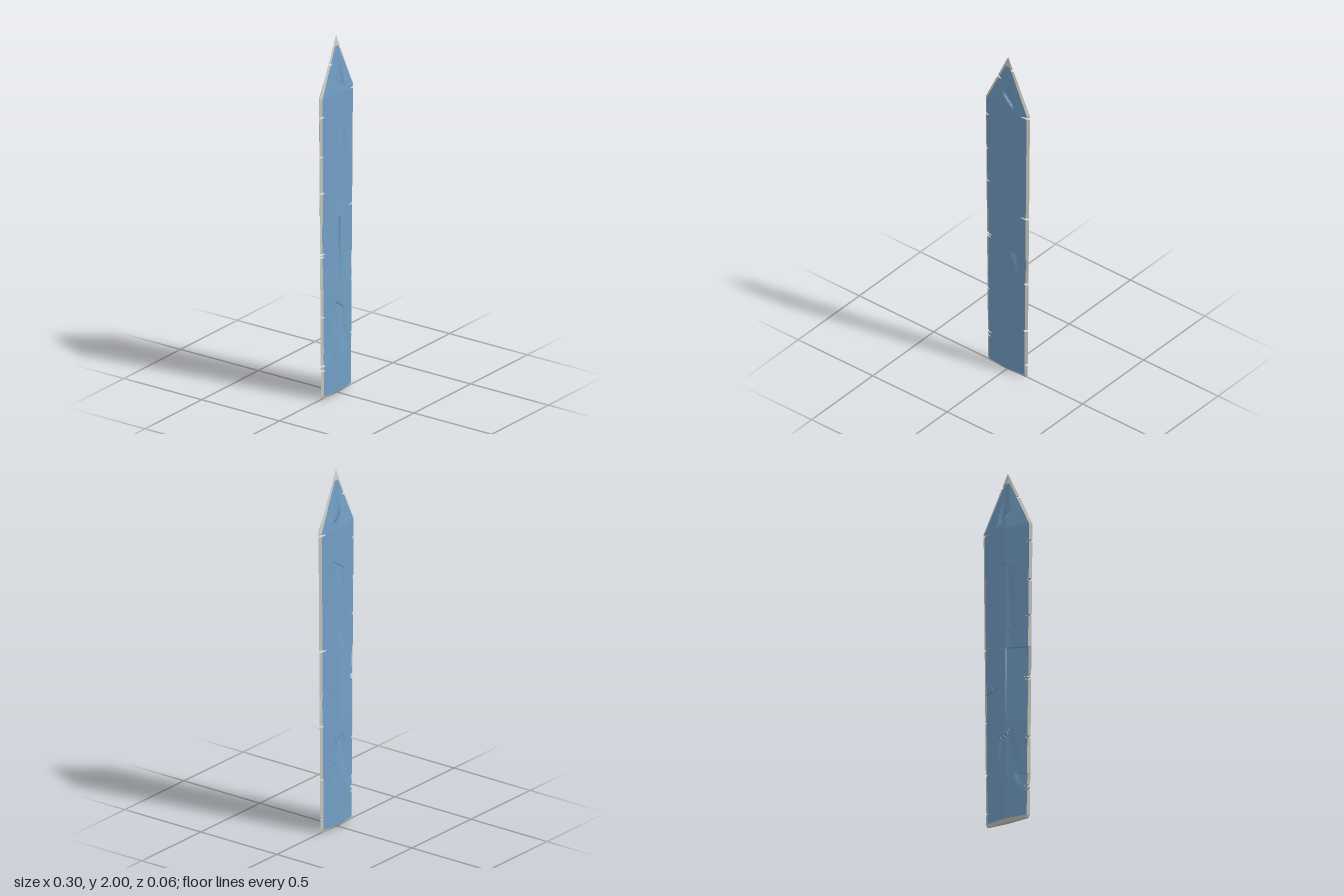
import * as THREE from 'three';
import { toCreasedNormals } from 'three/addons/utils/BufferGeometryUtils.js';

const STEP = 0.012, COLS = 20, RIM = 0.014, SHOULDER = 1.68;

// edge nicks: [height, depth]
const NICKS = {
  '-1': [[1.85, 0.03], [1.58, 0.03], [1.36, 0.022], [1.155, 0.028], [0.985, 0.012], [0.81, 0.035],
    [0.795, 0.03], [0.46, 0.022], [0.185, 0.03], [0.16, 0.025]],
  '1': [[1.925, 0.012], [1.67, 0.045], [1.02, 0.045], [0.765, 0.012], [0.6, 0.02], [0.3, 0.02], [0.08, 0.01]],
};

// chips on the faces: a sharp line x0,y0 - x1,y1, fading over len, widening by left/right
const CHIPS = [
  { x0: -0.045, y0: 1.44, x1: 0.05, y1: 1.5, len: 0.5, depth: 0.010, left: 0.03, right: 0.09, soft: 0.03 },
  { x0: -0.3, y0: 0.955, x1: 0, y1: 0.99, len: 0.42, depth: 0.008, left: 0, right: 0, soft: 0.004 },
  { x0: 0.035, y0: 0.776, x1: 0.2, y1: 0.735, len: 0.17, depth: 0.006, left: -0.05, right: 0, soft: 0.02 },
  { x0: -0.04, y0: 0.525, x1: 0.05, y1: 0.462, len: 0.25, depth: 0.010, left: 0.05, right: 0.02, soft: 0.025 },
  { x0: 0.015, y0: 0.362, x1: 0.065, y1: 0.353, len: 0.14, depth: 0.007, left: 0.03, right: 0.03, soft: 0.02 },
  { x0: -0.2, y0: 0.235, x1: -0.045, y1: 0.266, len: 0.09, depth: 0.005, left: 0, right: -0.03, soft: 0.02 },
  { x0: -0.04, y0: 1.093, x1: 0.015, y1: 1.097, len: 0.1, depth: 0.006, left: 0.02, right: 0.02, soft: 0.02 },
  { x0: -0.025, y0: 1.78, x1: 0.055, y1: 1.695, len: -0.2, depth: 0.012, left: -0.02, right: -0.04, soft: 0.02 },
];
const lineY = (c, x) => c.y0 + (c.y1 - c.y0) * (x - c.x0) / (c.x1 - c.x0);

// half width of the clean outline
function halfWidth(y, side) {
  if (y > SHOULDER) return 0.15 * (2 - y) / (2 - SHOULDER);
  return (side < 0 ? 0.134 : 0.131) + 0.016 * y / SHOULDER;
}

function notchedWidth(y, side) {
  let cut = 0;
  for (const [at, depth] of NICKS[side]) {
    const d = Math.abs(y - at);
    cut = Math.max(cut, depth * THREE.MathUtils.clamp((0.006 - d) / 0.004, 0, 1));
  }
  return Math.max(0, halfWidth(y, side) - cut);
}

// half thickness: a flat diamond with the chips taken out
function halfDepth(x, y) {
  const core = y > SHOULDER ? 0.029 * (2 - y) / (2 - SHOULDER) : 0.025 + 0.004 * y / SHOULDER;
  const w = Math.max(halfWidth(y, x < 0 ? -1 : 1), 1e-4);
  const z = core * (1 - 0.68 * Math.min(1, Math.abs(x) / w));
  let cut = 0;
  for (const c of CHIPS) {
    const t = (lineY(c, x) - y) / c.len;
    if (t < -1e-6 || t > 1) continue;
    const inside = Math.min(x - c.x0 + c.left * t, c.x1 + c.right * t - x) / c.soft;
    cut = Math.max(cut, c.depth * (1 - t) * THREE.MathUtils.clamp(inside, 0, 1));
  }
  return Math.max(z * 0.4, z - cut);
}

// pull a grid point onto a nearby chip line so the break is crisp
function snapY(x, y) {
  for (const c of CHIPS) {
    if (x < c.x0 || x > c.x1) continue;
    const yc = lineY(c, x), dir = Math.sign(c.len), d = (y - yc) * dir;
    if (Math.abs(d) <= STEP / 2) return yc;
    if (d > 0 && d <= STEP * 1.5) return yc + 0.002 * dir;
  }
  return y;
}

// one cross-section of the front half, from right edge to left edge
function section(y) {
  const pts = [];
  const end = y === 0;
  const edge = (side, at) => new THREE.Vector3(side * Math.max(0, notchedWidth(y, side) - (end ? 0.006 : 0)), at, 0);
  for (let j = -COLS; j <= COLS; j++) {
    const side = j < 0 ? -1 : 1;
    const full = Math.max(0, halfWidth(y, side) - RIM);
    const limit = Math.max(0, Math.min(full, notchedWidth(y, side) - 0.002));
    const x = side * Math.min(Math.abs(j) / COLS * full, limit);
    const sy = end || y === 2 ? y : snapY(x, y);
    pts.push(new THREE.Vector3(x, sy, halfDepth(x, sy) * (end ? 0.5 : 1)));
  }
  return [edge(-1, pts[0].y), ...pts, edge(1, pts[pts.length - 1].y)];
}

function meshFrom(tris, material, name) {
  const geo = new THREE.BufferGeometry();
  geo.setAttribute('position', new THREE.Float32BufferAttribute(tris, 3));
  const mesh = new THREE.Mesh(toCreasedNormals(geo, 0.2), material);
  mesh.name = name;
  return mesh;
}

export function createModel() {
  const steel = new THREE.MeshStandardMaterial({ color: 0x739fc6 });
  steel.name = 'blue steel';
  const honed = new THREE.MeshStandardMaterial({ color: 0xd2d0c8 });
  honed.name = 'honed edge';

  // row heights: an even grid plus extra rows around each nick
  const heights = new Set([0, 2, 0.016, 1.94]);
  for (let y = 0.028; y < 1.995; y += STEP) heights.add(y);
  for (const list of Object.values(NICKS))
    for (const [at] of list) [-0.006, -0.002, 0.002, 0.006].forEach(d => heights.add(at + d));
  const ys = [...heights].sort((a, b) => a - b);
  const rows = ys.map(section);

  const faces = [], rim = [];
  const area = new THREE.Triangle();
  function tri(out, a, b, c) {
    area.set(a, b, c);
    if (area.getArea() < 1e-10) return;
    for (const p of [a, b, c]) out.push(p.x, p.y, p.z);
  }
  const flip = p => new THREE.Vector3(p.x, p.y, -p.z);
  function quad(out, a, b, c, d) {
    tri(out, a, b, c);
    tri(out, a, c, d);
  }

  const last = rows[0].length - 1;
  for (let i = 0; i < rows.length - 1; i++) {
    for (let j = 0; j < last; j++) {
      const out = i === 0 || j === 0 || j === last - 1 || ys[i] >= 1.94 ? rim : faces;
      const [a, b, c, d] = [rows[i][j], rows[i][j + 1], rows[i + 1][j + 1], rows[i + 1][j]];
      quad(out, a, b, c, d);
      quad(out, flip(a), flip(d), flip(c), flip(b));
    }
  }
  // flat base
  for (let j = 0; j < last; j++) {
    const a = rows[0][j], b = rows[0][j + 1];
    quad(rim, flip(a), flip(b), b, a);
  }

  const blade = new THREE.Group();
  blade.name = 'blade';
  blade.add(meshFrom(faces, steel, 'bladeFaces'), meshFrom(rim, honed, 'bladeEdge'));
  return blade;
}
